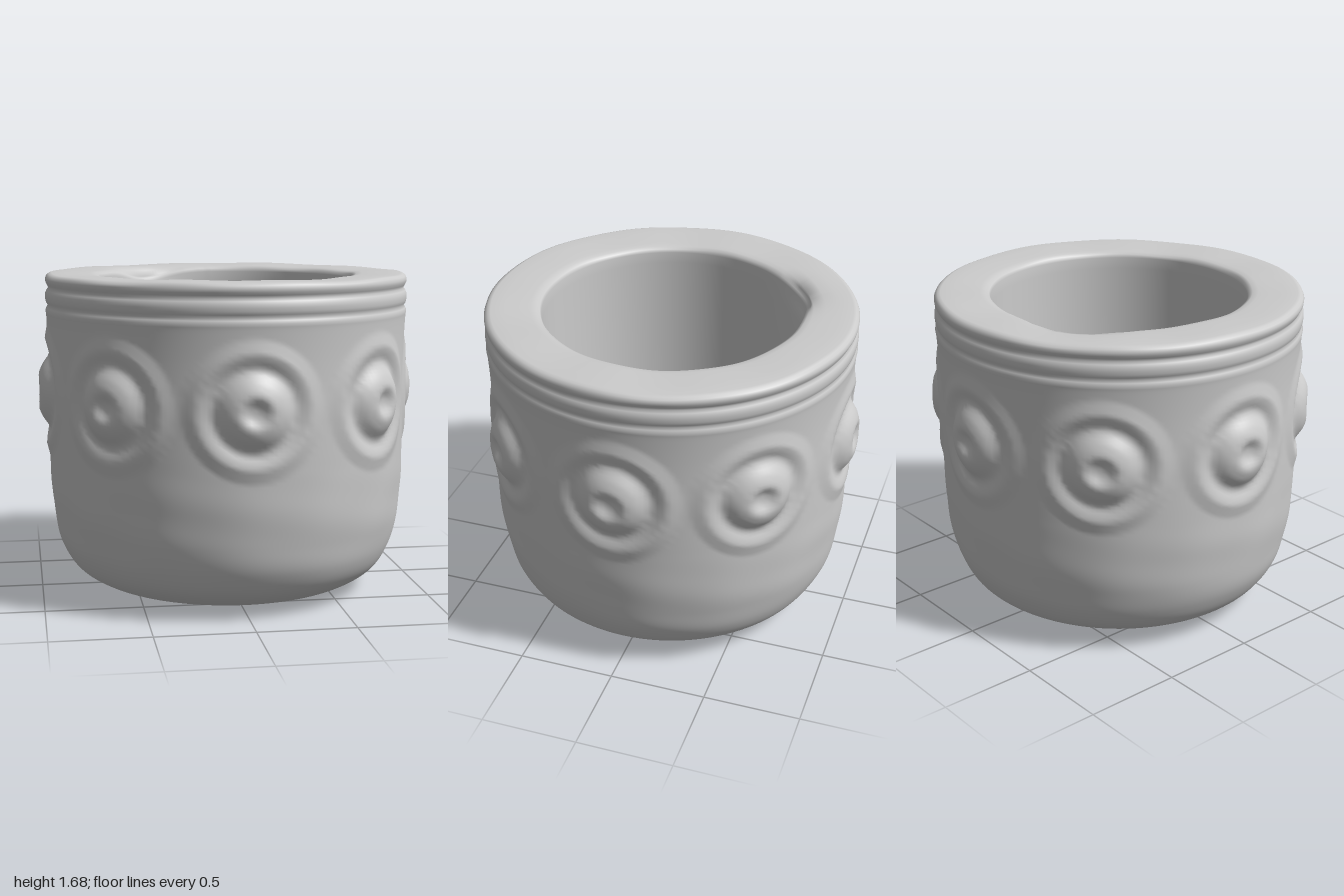
import * as THREE from 'three';
import { mergeVertices } from 'three/addons/utils/BufferGeometryUtils.js';

const V = (x, y) => new THREE.Vector3(x, y, 0);
const smooth = (points, count) =>
  new THREE.CatmullRomCurve3(points.map(([x, y]) => V(x, y)), false, 'centripetal')
    .getSpacedPoints(count)
    .map((p) => new THREE.Vector2(Math.max(p.x, 0), Math.max(p.y, 0)));

// Outer wall from the centre of the base up to the rim, with two turned grooves
const OUTER = [
  [0, 0], [0.45, 0.005], [0.6, 0.02], [0.72, 0.06], [0.82, 0.13], [0.885, 0.24],
  [0.92, 0.38], [0.94, 0.56], [0.945, 0.8], [0.945, 1.3], [0.952, 1.46], [0.955, 1.49],
  [0.942, 1.508], [0.953, 1.53], [0.953, 1.58], [0.938, 1.602], [0.946, 1.618],
  [0.955, 1.64], [0.946, 1.665], [0.92, 1.676],
];
// Flat rim, straight bore and inner floor
const INNER = [
  [0.85, 1.676], [0.78, 1.674], [0.72, 1.672], [0.69, 1.668], [0.672, 1.658], [0.665, 1.64],
  [0.665, 1.58], [0.665, 1.5], [0.665, 1.2], [0.665, 0.8], [0.665, 0.4], [0.655, 0.31],
  [0.62, 0.265], [0.55, 0.25], [0, 0.25],
];

// Medallion relief: distance from its centre, height above the wall
const RELIEF = [
  [0, 0.026], [0.03, 0.029], [0.075, 0.054], [0.1, 0.051], [0.14, 0.034], [0.19, -0.002],
  [0.215, -0.005], [0.25, 0.009], [0.28, 0.016], [0.31, 0.009], [0.35, 0],
];
function relief(d) {
  for (let i = 1; i < RELIEF.length; i++) {
    const [d0, h0] = RELIEF[i - 1], [d1, h1] = RELIEF[i];
    if (d <= d1) return THREE.MathUtils.lerp(h0, h1, (d - d0) / (d1 - d0));
  }
  return 0;
}

function potGeometry() {
  const profile = [...smooth(OUTER, 150), ...INNER.map(([x, y]) => new THREE.Vector2(x, y))];
  let geo = new THREE.LatheGeometry(profile, 256);
  const pos = geo.attributes.position;
  const step = Math.PI / 4;
  for (let i = 0; i < pos.count; i++) {
    const x = pos.getX(i), z = pos.getZ(i);
    let y = pos.getY(i), r = Math.hypot(x, z);
    const a = Math.atan2(x, z);
    if (r > 0.8 && y > 0.1 && y < 1.66) {
      // Eight medallions, evenly spaced around the wall
      const off = a - Math.round(a / step) * step;
      r += relief(Math.hypot(0.95 * Math.sin(off), y - 1.06));
      // Slight hand-shaped unevenness below them
      if (y < 0.75) {
        r += 0.004 * Math.sin(Math.PI * (y - 0.1) / 0.65) * Math.sin(9 * a + 8 * y) * Math.sin(5 * a - 13 * y);
      }
    } else if (y > 1.45 && r < 0.9) {
      // Worn dip in the inner lip at the back
      const da = (a - Math.atan2(-0.36, -0.58)) / 0.27;
      const dip = Math.exp(-da * da) * THREE.MathUtils.smoothstep(y, 1.48, 1.62);
      if (r < 0.7) {
        r += 0.04 * dip;
        y -= 0.05 * dip;
      } else if (r < 0.75) y -= 0.02 * dip;
    }
    // Gently wavy top edge
    if (y > 1.655) y += 0.004 * Math.sin(7 * a + 1) * Math.sin(3 * a);
    pos.setXYZ(i, r * Math.sin(a), y, r * Math.cos(a));
  }
  // Weld the seam so that shading runs smoothly around
  geo.deleteAttribute('uv');
  geo.deleteAttribute('normal');
  geo = mergeVertices(geo, 1e-5);
  geo.computeVertexNormals();
  return geo;
}

export function createModel() {
  const group = new THREE.Group();
  group.name = 'pot';
  const body = new THREE.Mesh(potGeometry(), new THREE.MeshStandardMaterial({ color: 0xcccccc }));
  body.name = 'potBodyWithMedallions';
  group.add(body);
  return group;
}
